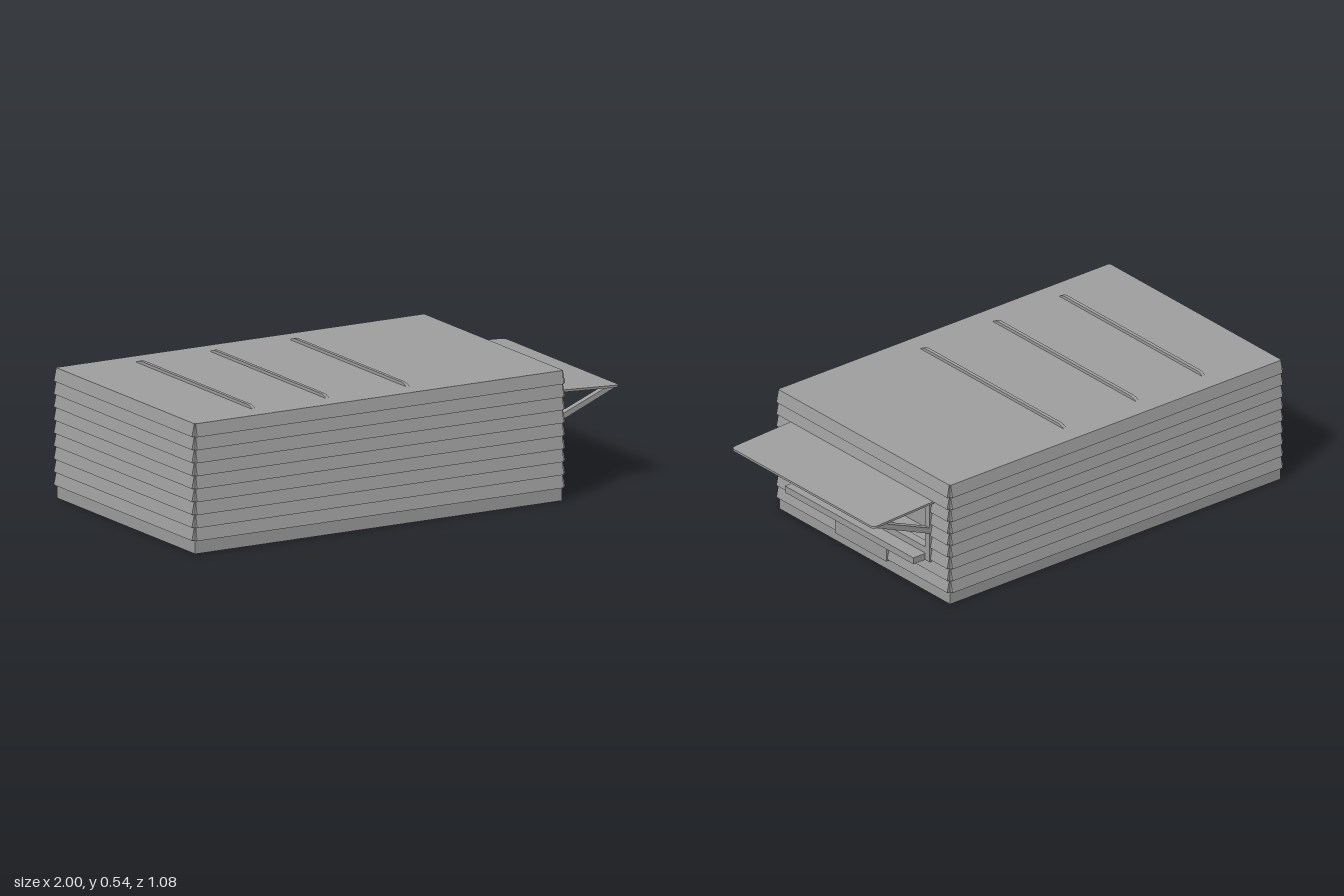
import * as THREE from 'three';

const X0 = -0.985, X1 = 0.684, HALF_Z = 0.525, TOP = 0.525, BASE = 0.055;
const ROWS = 9, PITCH = (TOP - BASE) / ROWS, RECESS = 0.12;

export function createModel() {
  const model = new THREE.Group();
  const mat = new THREE.MeshStandardMaterial({ color: 0x9f9f9f, flatShading: true });

  const add = (name, geometry, parent = model) => {
    const mesh = new THREE.Mesh(geometry, mat);
    mesh.name = name;
    parent.add(mesh);
    return mesh;
  };
  // Box given by its minimum and maximum on each axis
  const box = (name, x0, x1, y0, y1, z0, z1) => {
    const mesh = add(name, new THREE.BoxGeometry(x1 - x0, y1 - y0, z1 - z0));
    mesh.position.set((x0 + x1) / 2, (y0 + y1) / 2, (z0 + z1) / 2);
    return mesh;
  };
  const polygon = (points) => new THREE.Shape(points.map(([x, y]) => new THREE.Vector2(x, y)));
  const extrude = (shape, depth) =>
    new THREE.ExtrudeGeometry(shape, { depth, bevelEnabled: false, curveSegments: 6 });

  // Main volume, with the serving end pierced by the window recess
  box('body', X0, X1 - RECESS, 0, TOP, -HALF_Z, HALF_Z);
  const endShape = polygon([[-HALF_Z, 0], [HALF_Z, 0], [HALF_Z, TOP], [-HALF_Z, TOP]]);
  endShape.holes.push(polygon([[-0.4, 0.18], [-0.4, 0.4], [0.4, 0.4], [0.4, 0.18]]));
  const endWall = add('windowWall', extrude(endShape, RECESS));
  endWall.rotation.y = Math.PI / 2;
  endWall.position.x = X1 - RECESS;

  // Lapped boards: a wedge section, thick at the bottom, running along each wall
  const board = polygon([[0, 0], [0.015, 0], [0.004, PITCH], [0, PITCH]]);
  const addBoard = (wall, row, from, to) => {
    const mesh = add('sidingBoard', extrude(board, to - from), wall);
    mesh.position.set(0, BASE + row * PITCH, from);
  };
  const midX = (X0 + X1) / 2, halfX = (X1 - X0) / 2;
  const walls = [
    ['leftSiding', X1, 0, HALF_Z, 0],
    ['backSiding', midX, -HALF_Z, halfX, Math.PI / 2],
    ['rightSiding', X0, 0, HALF_Z, Math.PI],
    ['frontSiding', midX, HALF_Z, halfX, -Math.PI / 2],
  ];
  for (const [name, x, z, half, angle] of walls) {
    const wall = new THREE.Group();
    wall.name = name;
    wall.position.set(x, 0, z);
    wall.rotation.y = angle;
    model.add(wall);
    for (let row = 0; row < ROWS; row++) {
      if (name === 'leftSiding' && row >= 2 && row <= 6) {
        addBoard(wall, row, -half, -0.422);
        addBoard(wall, row, 0.422, half);
      } else addBoard(wall, row, -half, half);
    }
  }

  // Window frame, counter between the posts, and the panel below
  for (const s of [-1, 1])
    box('windowPost', X1 - 0.02, 0.703, 0.15, 0.41, s * 0.4085 - 0.0135, s * 0.4085 + 0.0135);
  box('windowTopRail', X1 - 0.02, 0.701, 0.375, 0.41, -0.395, 0.395);
  box('windowBottomRail', X1 - 0.02, 0.701, 0.178, 0.205, -0.395, 0.395);
  box('counter', X1, 0.763, 0.15, 0.178, -0.395, 0.395);
  box('lowerPanel', X1 - 0.01, 0.704, 0.047, 0.15, -0.157, 0.157);

  // Awning: thin sloping sheet with rounded outer corners
  const w = 0.438, r = 0.02, inner = 0.69, outer = 1;
  const sheet = new THREE.Shape();
  sheet.moveTo(inner, -w);
  sheet.lineTo(outer - r, -w);
  sheet.quadraticCurveTo(outer, -w, outer, -w + r);
  sheet.lineTo(outer, w - r);
  sheet.quadraticCurveTo(outer, w, outer - r, w);
  sheet.lineTo(inner, w);
  const awning = extrude(sheet, 0.009).rotateX(-Math.PI / 2);
  const p = awning.attributes.position;
  for (let i = 0; i < p.count; i++)
    p.setY(i, p.getY(i) + 0.413 - 0.015 * (p.getX(i) - inner) / (outer - inner));
  awning.computeVertexNormals();
  add('awning', awning);

  // Diagonal struts carrying the awning
  const strut = polygon([[0.697, 0.273], [0.985, 0.394], [0.985, 0.402], [0.95, 0.402], [0.697, 0.298]]);
  for (const s of [-1, 1])
    add('awningStrut', extrude(strut, 0.027)).position.z = s * 0.4085 - 0.0135;

  // Roof ribs with sloping, rounded ends
  const rib = new THREE.Shape();
  rib.moveTo(-0.44, 0);
  rib.lineTo(0.44, 0);
  rib.quadraticCurveTo(0.425, 0.012, 0.4, 0.012);
  rib.lineTo(-0.4, 0.012);
  rib.quadraticCurveTo(-0.425, 0.012, -0.44, 0);
  for (const x of [-0.668, -0.332, 0.033]) {
    const mesh = add('roofRib', extrude(rib, 0.015));
    mesh.rotation.y = Math.PI / 2;
    mesh.position.set(x - 0.0075, TOP, 0);
  }
  return model;
}
